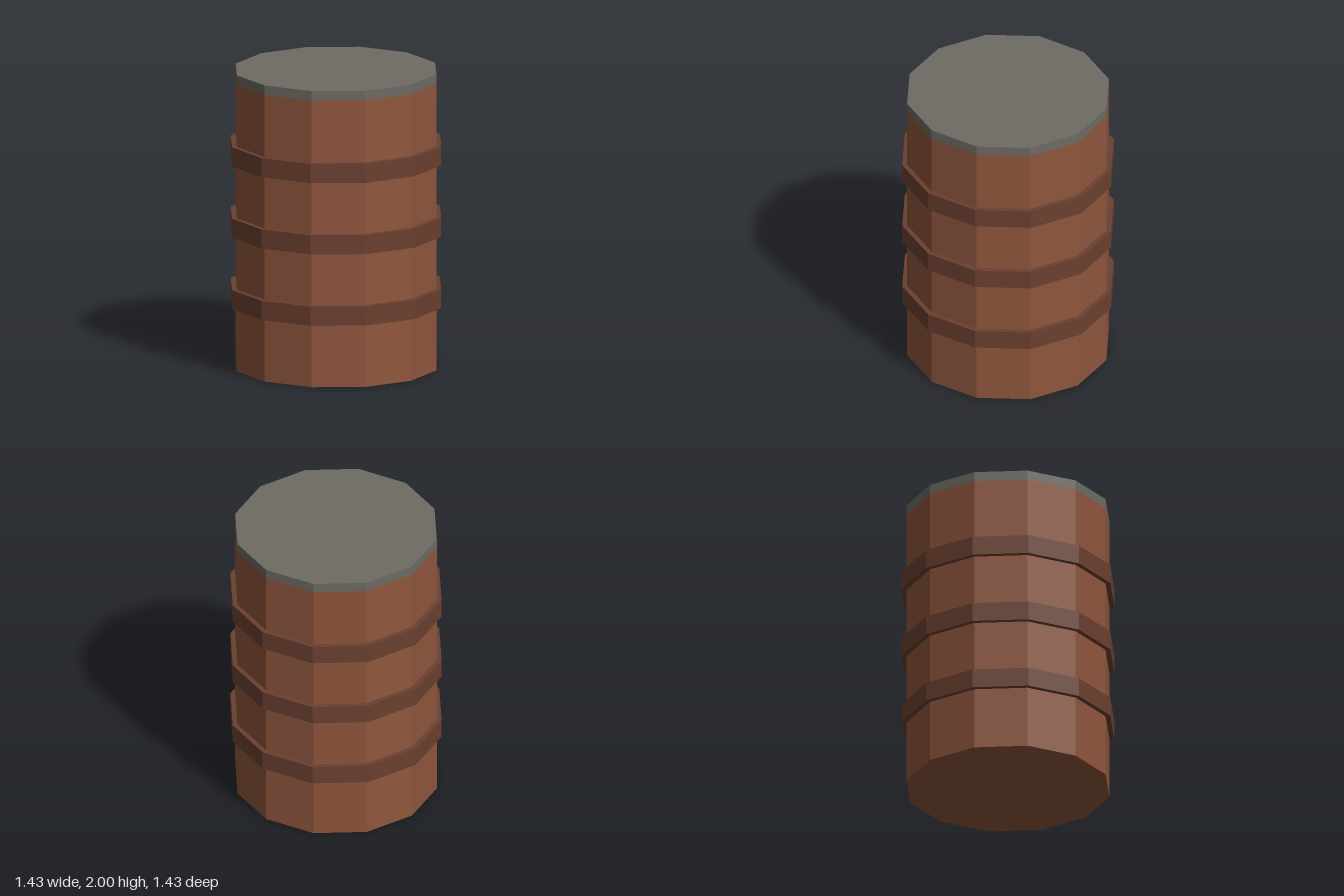
import * as THREE from 'three';

const SIDES = 12;
const RADIUS = 0.68;

function material(color) {
  return new THREE.MeshStandardMaterial({ color, flatShading: true });
}

// Upright twelve-sided drum spanning bottom..top
function drum(name, radius, bottom, top, mat) {
  const geometry = new THREE.CylinderGeometry(radius, radius, top - bottom, SIDES);
  const mesh = new THREE.Mesh(geometry, mat);
  mesh.name = name;
  mesh.position.y = (bottom + top) / 2;
  return mesh;
}

export function createModel() {
  const group = new THREE.Group();
  group.name = 'barrel';

  const wood = material(0x8f563d);
  const hoop = material(0x6b4030);
  const metal = material(0x6e6b65);

  // Body and the lid that caps it
  group.add(drum('body', RADIUS, 0, 1.935, wood));
  group.add(drum('lid', RADIUS, 1.935, 2, metal));

  // Three evenly spaced hoops
  const names = ['lowerHoop', 'middleHoop', 'upperHoop'];
  names.forEach((name, i) => {
    const y = 0.487 + i * 0.482;
    group.add(drum(name, 0.713, y - 0.065, y + 0.065, hoop));
  });

  return group;
}
